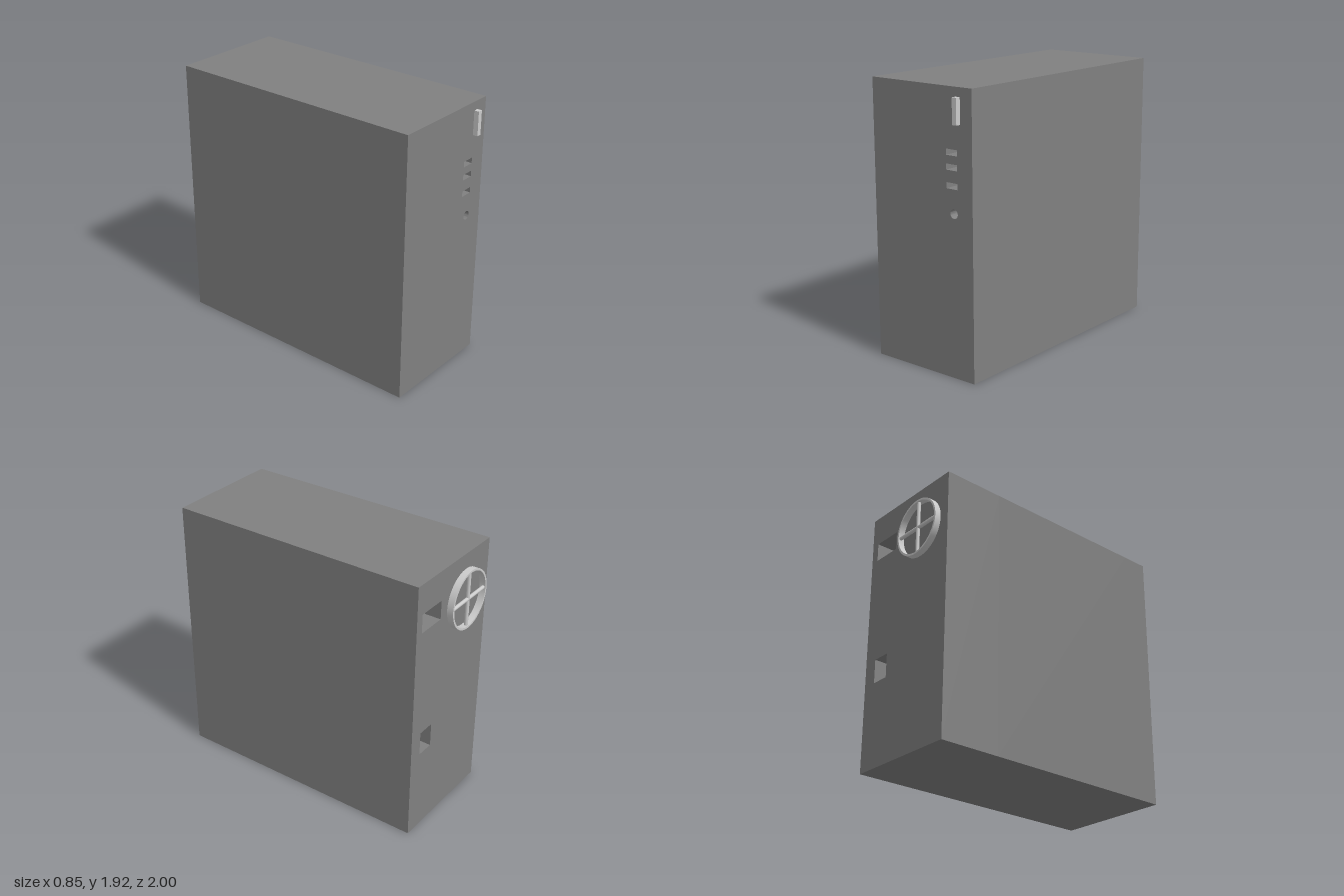
import * as THREE from 'three';
import { toCreasedNormals } from 'three/addons/utils/BufferGeometryUtils.js';

const W = 0.85, H = 1.92, FRONT = 0.965, BACK = -0.955;
const FRONT_DEPTH = 0.2, BACK_DEPTH = 0.45;

// closed rectangle from two corners
function rect(path, x0, y0, x1, y1) {
  path.moveTo(x0, y0);
  path.lineTo(x1, y0);
  path.lineTo(x1, y1);
  path.lineTo(x0, y1);
  path.closePath();
  return path;
}

export function createModel() {
  const group = new THREE.Group();
  const caseMat = new THREE.MeshStandardMaterial({ color: 0x808080 });
  const lightMat = new THREE.MeshStandardMaterial({ color: 0xcccccc });

  function add(name, geometry, material, x = 0, y = 0, z = 0) {
    const mesh = new THREE.Mesh(geometry, material);
    mesh.name = name;
    mesh.position.set(x, y, z);
    group.add(mesh);
    return mesh;
  }

  // extruded slab with smooth round walls and sharp edges
  function extrude(shape, depth) {
    const geo = new THREE.ExtrudeGeometry(shape, { depth, bevelEnabled: false, curveSegments: 32 });
    return toCreasedNormals(geo, 0.6);
  }

  // slab of the case, pierced by the given holes
  function slab(name, holes, depth, z) {
    const shape = rect(new THREE.Shape(), -W / 2, 0, W / 2, H);
    shape.holes.push(...holes);
    add(name, extrude(shape, depth), caseMat, 0, 0, z);
  }

  // front section: three slots and a round socket
  const frontHoles = [1.485, 1.39, 1.27].map((y) => rect(new THREE.Path(), 0.208, y, 0.3, y + 0.04));
  frontHoles.push(new THREE.Path().absarc(0.27, 1.11, 0.031, 0, Math.PI * 2));
  slab('frontSection', frontHoles, FRONT_DEPTH, FRONT - FRONT_DEPTH);

  // rear section: wide port and power inlet
  slab('rearSection', [
    rect(new THREE.Path(), 0.145, 1.57, 0.365, 1.705),
    rect(new THREE.Path(), 0.19, 0.613, 0.322, 0.785),
  ], BACK_DEPTH, BACK);

  // solid middle of the case, closing the recesses
  const z0 = BACK + BACK_DEPTH, z1 = FRONT - FRONT_DEPTH;
  add('caseMiddle', new THREE.BoxGeometry(W, H, z1 - z0), caseMat, 0, H / 2, (z0 + z1) / 2);

  // power button
  add('powerButton', new THREE.BoxGeometry(0.035, 0.172, 0.045), lightMat, 0.312, 1.773, 0.9775);

  // fan ring and crossed bars on the rear
  const fanX = -0.14, fanY = 1.6, fanR = 0.21;
  const ring = new THREE.Shape().absarc(0, 0, fanR, 0, Math.PI * 2);
  ring.holes.push(new THREE.Path().absarc(0, 0, fanR - 0.014, 0, Math.PI * 2));
  add('fanRing', extrude(ring, 0.05), lightMat, fanX, fanY, -1);
  for (const angle of [0, Math.PI / 2]) {
    const bar = add('fanBar', new THREE.CylinderGeometry(0.013, 0.013, 2 * fanR - 0.015, 16), lightMat, fanX, fanY, -0.982);
    bar.rotation.z = angle;
  }
  return group;
}
